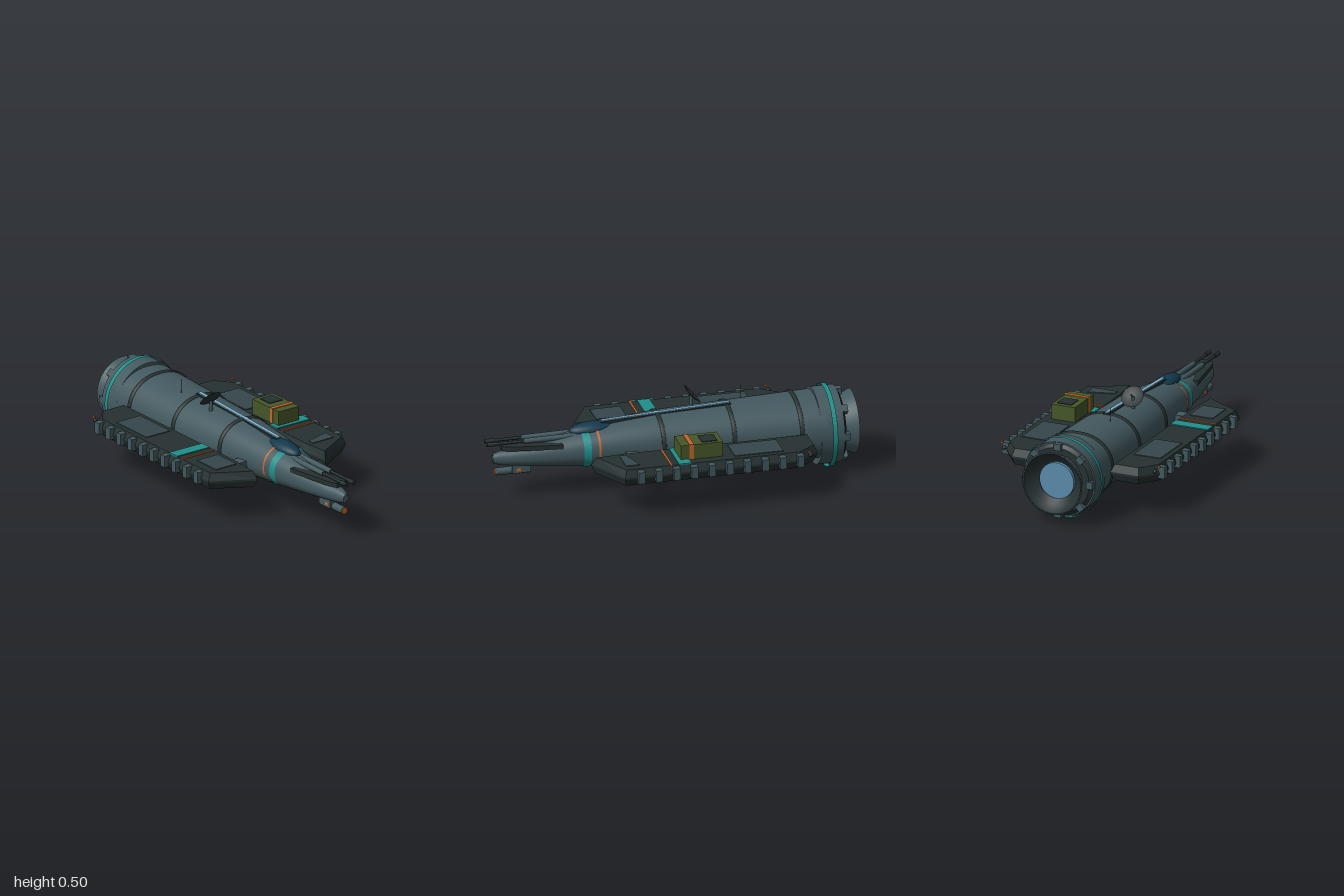
import * as THREE from 'three';

const mat = (name, color) => {
  const m = new THREE.MeshStandardMaterial({ color, side: THREE.DoubleSide });
  m.name = name;
  return m;
};

export function createModel() {
  const hullGrey = mat('hull grey', 0x43595f), dark = mat('dark plating', 0x263132);
  const panel = mat('panel grey', 0x35464b), teal = mat('teal', 0x1f8f8a);
  const orange = mat('orange', 0xc4662c), green = mat('cargo green', 0x465728);
  const glass = mat('canopy glass', 0x12394c), light = mat('light blue', 0x82b4d2);
  const glow = mat('engine glow', 0x5a8cab);
  const model = new THREE.Group();

  const add = (name, geo, m, parent = model) => {
    const mesh = new THREE.Mesh(geo, m);
    mesh.name = name;
    parent.add(mesh);
    return mesh;
  };
  // box given by its limits on each axis
  const box = (name, m, x0, x1, y0, y1, z0, z1, parent) => add(name,
    new THREE.BoxGeometry(x1 - x0, y1 - y0, Math.abs(z1 - z0))
      .translate((x0 + x1) / 2, (y0 + y1) / 2, (z0 + z1) / 2), m, parent);
  // cylinder lying along x
  const tube = (name, m, x0, x1, r0, r1, y, z = 0, open = false, n = 48) => add(name,
    new THREE.CylinderGeometry(r1, r0, x1 - x0, n, 1, open)
      .rotateZ(-Math.PI / 2).translate((x0 + x1) / 2, y, z), m);
  // horizontal plate from an x/z outline
  const plate = (pts, depth, bevel) => new THREE.ExtrudeGeometry(
    new THREE.Shape(pts.map(p => new THREE.Vector2(...p))), { depth, ...bevel }).rotateX(Math.PI / 2);

  // hull sections: x, centre y, half height, half width
  const sections = [
    [-0.82, 0.237, 0.178, 0.207], [-0.3, 0.24, 0.161, 0.187], [0.07, 0.25, 0.14, 0.162],
    [0.3, 0.251, 0.118, 0.138], [0.5, 0.243, 0.097, 0.115], [0.7, 0.235, 0.07, 0.082],
    [0.85, 0.228, 0.048, 0.05], [0.93, 0.226, 0.036, 0.029], [0.962, 0.226, 0.024, 0.018]];
  const sectionAt = x => {
    let i = 0;
    while (i < sections.length - 2 && x > sections[i + 1][0]) i++;
    const a = sections[i], b = sections[i + 1], t = (x - a[0]) / (b[0] - a[0]);
    return a.map((v, k) => v + (b[k] - v) * t);
  };
  // skin following the hull, rings = [x, offset]
  const skin = (rings, n = 48) => {
    const pos = [], index = [];
    const round = v => Math.sign(v) * Math.abs(v) ** 0.92;
    rings.forEach(([x, off], i) => {
      const [, cy, hy, hz] = sectionAt(x);
      for (let j = 0; j < n; j++) {
        const a = j / n * Math.PI * 2;
        pos.push(x, cy + (hy + off) * round(Math.sin(a)), (hz + off) * round(Math.cos(a)));
        if (!i) continue;
        const k = (j + 1) % n, p = (i - 1) * n, q = i * n;
        index.push(p + j, q + j, p + k, q + j, q + k, p + k);
      }
    });
    const g = new THREE.BufferGeometry();
    g.setAttribute('position', new THREE.Float32BufferAttribute(pos, 3));
    g.setIndex(index);
    g.computeVertexNormals();
    return g;
  };
  add('hull', skin(sections.map(s => [s[0], 0])), hullGrey);
  tube('noseCap', hullGrey, 0.955, 0.963, 0.018, 0.018, 0.226, 0, false, 24);
  for (const x of [-0.68, -0.315, 0.065])
    add('hullRib', skin([[x - 0.012, 0], [x - 0.01, 0.006], [x + 0.01, 0.006], [x + 0.012, 0]]), dark);
  add('tealHullBand', skin([[0.45, 0.003], [0.49, 0.003]]), teal);
  add('orangeHullBand', skin([[0.4, 0.003], [0.411, 0.003]]), orange);

  // engine collar, ring and bell
  const ey = 0.225;
  tube('engineCollar', hullGrey, -0.91, -0.785, 0.208, 0.208, ey);
  tube('collarStep', dark, -0.925, -0.91, 0.18, 0.2, ey);
  tube('engineRing', teal, -0.868, -0.842, 0.222, 0.222, 0.222, 0, true, 64);
  for (let i = 0; i < 8; i++) {
    const lug = box('collarLug', hullGrey, -0.94, -0.9, 0.168, 0.205, -0.02, 0.02);
    lug.position.y = ey;
    lug.rotation.x = i * Math.PI / 4;
  }
  const lathe = pts => new THREE.LatheGeometry(pts.map(p => new THREE.Vector2(...p)), 48)
    .rotateZ(-Math.PI / 2).translate(0, ey + 0.003, 0);
  add('engineBell', lathe([[0.166, -1], [0.174, -1], [0.15, -0.95], [0.135, -0.91]]), hullGrey);
  add('bellLining', lathe([[0.166, -1], [0.14, -0.95], [0.1, -0.925]]), dark);
  tube('engineGlow', glow, -0.945, -0.92, 0.1, 0.1, ey + 0.003);

  // canopy and spine
  add('canopy', new THREE.SphereGeometry(1, 32, 20).scale(0.135, 0.042, 0.055).translate(0.41, 0.337, 0), glass);
  const spine = new THREE.Group();
  spine.name = 'spine';
  spine.position.set(0.02, 0.392, 0);
  spine.rotation.z = -0.045;
  model.add(spine);
  box('spineBase', dark, -0.355, 0.355, -0.02, 0.002, -0.018, 0.018, spine);
  box('spineLight', light, -0.35, 0.35, 0.002, 0.008, -0.01, 0.01, spine);

  // dish and whip antenna
  add('dishPost', new THREE.CylinderGeometry(0.008, 0.012, 0.09, 12).translate(-0.14, 0.405, 0.065), hullGrey);
  const dish = new THREE.Group();
  dish.name = 'dish';
  dish.position.set(-0.14, 0.447, 0.065);
  dish.rotation.z = 0.84;
  model.add(dish);
  add('dishBowl', new THREE.LatheGeometry([[0, -0.008], [0.035, -0.003], [0.062, 0.008]]
    .map(p => new THREE.Vector2(...p)), 32), dark, dish);
  add('dishFeed', new THREE.CylinderGeometry(0.003, 0.003, 0.045, 8).translate(0, 0.015, 0), hullGrey, dish);
  add('whipAntenna', new THREE.CylinderGeometry(0.0015, 0.0015, 0.1, 6).translate(-0.41, 0.425, 0.06), dark);

  // nose plate, twin guns, chin lamp, keel
  add('nosePlate', plate([[0.6, -0.095], [0.88, -0.05], [0.92, -0.03], [0.92, 0.03], [0.88, 0.05], [0.6, 0.095]], 0.025,
    { bevelEnabled: false }).translate(0, 0.304, 0), dark);
  for (const s of [-1, 1]) {
    tube('gunHousing', hullGrey, 0.5, 0.8, 0.017, 0.014, 0.32, s * 0.025, false, 16);
    tube('gunBarrel', dark, 0.8, 0.96, 0.008, 0.008, 0.32, s * 0.025, false, 12);
    tube('gunMuzzle', dark, 0.95, 1, 0.011, 0.011, 0.32, s * 0.025, false, 12);
  }
  box('chinMount', hullGrey, 0.76, 0.86, 0.14, 0.19, -0.028, 0.028);
  tube('chinBarrel', hullGrey, 0.76, 0.945, 0.022, 0.02, 0.15, 0, false, 20);
  tube('chinBand', orange, 0.815, 0.838, 0.03, 0.03, 0.155, 0, false, 20);
  tube('chinLamp', orange, 0.944, 0.95, 0.018, 0.018, 0.15, 0, false, 20);
  box('keel', dark, -0.41, -0.125, 0.06, 0.09, -0.025, 0.025);

  // side pods
  for (const s of [-1, 1]) {
    const pod = new THREE.Group();
    pod.name = s > 0 ? 'leftPod' : 'rightPod';
    model.add(pod);
    const b = (name, m, x0, x1, y0, y1, z0, z1) => box(name, m, x0, x1, y0, y1, s * z0, s * z1, pod);
    const outline = [[-0.715, 0.205], [-0.715, 0.37], [-0.61, 0.452], [0.355, 0.452], [0.48, 0.225], [0.3, 0.205]];
    add('podBody', plate(outline.map(([x, z]) => [x, s * z]), 0.01, {
      bevelEnabled: true, bevelThickness: 0.04, bevelSize: 0.018, bevelOffset: -0.018, bevelSegments: 1,
    }).translate(0, 0.235, 0), dark, pod);
    b('rearPanel', panel, -0.52, -0.255, 0.274, 0.279, 0.25, 0.405);
    if (s > 0) b('frontPanel', panel, 0.165, 0.33, 0.274, 0.279, 0.25, 0.385);
    else add('frontPanel', plate([[0.26, -0.39], [0.335, -0.39], [0.335, -0.25], [0.3, -0.25]], 0.005,
      { bevelEnabled: false }).translate(0, 0.279, 0), panel, pod);
    b('tealStripe', teal, -0.01, 0.058, 0.274, 0.28, 0.222, 0.44);
    b('orangeStripe', orange, 0.094, 0.105, 0.274, 0.28, 0.222, 0.44);
    for (let i = 0; i < 10; i++) {
      const x = -0.6 + i * 0.0967;
      b('sideLug', hullGrey, x - 0.018, x + 0.018, 0.203, 0.268, 0.435, 0.475);
    }
    for (const x of [-0.45, 0.24]) b('strut', hullGrey, x - 0.032, x + 0.032, 0.21, 0.248, 0.12, 0.23);
    // rear marker lamp
    add('lampBase', new THREE.SphereGeometry(0.012, 12, 8).translate(-0.66, 0.255, s * 0.44), dark, pod);
    b('markerLamp', orange, -0.655, -0.64, 0.274, 0.283, 0.452, 0.464);
  }

  // cargo crate on the right pod
  box('crate', green, -0.195, 0.035, 0.27, 0.358, -0.385, -0.248);
  box('crateStrap', orange, -0.036, -0.012, 0.272, 0.362, -0.388, -0.245);
  box('crateHatch', dark, -0.17, -0.085, 0.357, 0.362, -0.365, -0.28);
  return model;
}
